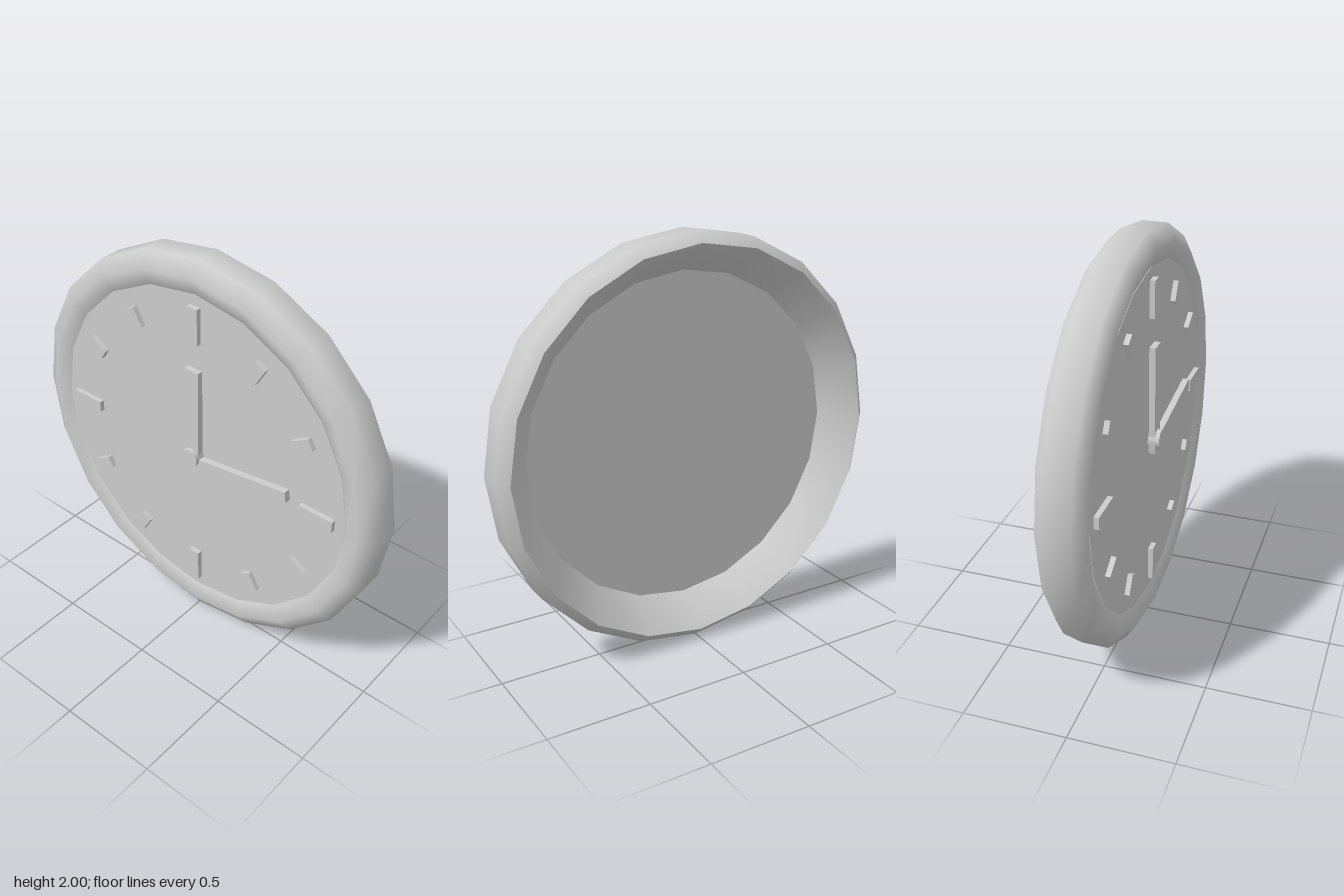
import * as THREE from 'three';

const SIDES = 20;
const CENTER_Y = 1;
const FACE_Z = 0.07;

export function createModel() {
  const clock = new THREE.Group();
  clock.name = 'wallClock';
  const grey = new THREE.MeshStandardMaterial({ color: 0xcccccc });
  grey.name = 'lightGrey';

  function add(name, geometry, x = 0, y = 0, z = 0, angle = 0) {
    const mesh = new THREE.Mesh(geometry, grey);
    mesh.name = name;
    mesh.position.set(x, CENTER_Y + y, z);
    mesh.rotation.z = angle;
    clock.add(mesh);
    return mesh;
  }

  // Rim: closed [radius, z] profile with a sharp edge at the back
  const profile = [
    [0.95, -0.125], [1, -0.075], [1, 0.052], [0.925, 0.1],
    [0.85, FACE_Z], [0.81, 0.04], [0.95, -0.125],
  ].map(([r, z]) => new THREE.Vector2(r, z));
  add('rim', new THREE.LatheGeometry(profile, SIDES).rotateX(Math.PI / 2));

  // Face: a thin disc set into the rim
  const face = new THREE.CylinderGeometry(0.845, 0.815, 0.03, SIDES).rotateX(Math.PI / 2);
  add('face', face, 0, 0, FACE_Z - 0.015);

  // Hour marks: long ones at the quarters
  for (let i = 0; i < 12; i++) {
    const quarter = i % 3 === 0;
    const angle = (i * Math.PI) / 6;
    const mark = new THREE.BoxGeometry(quarter ? 0.178 : 0.1, 0.058, 0.03);
    add('hourMark', mark, 0.7 * Math.cos(angle), 0.7 * Math.sin(angle), FACE_Z + 0.01, angle);
  }

  // Hands and centre pin
  add('uprightHand', new THREE.BoxGeometry(0.08, 0.475, 0.03), 0, 0.238, 0.088);
  add('sideHand', new THREE.BoxGeometry(0.595, 0.056, 0.032), 0.251, 0.003, 0.09, 0.135);
  add('centrePin', new THREE.CylinderGeometry(0.047, 0.047, 0.06, SIDES).rotateX(Math.PI / 2), 0, 0, 0.095);

  return clock;
}
